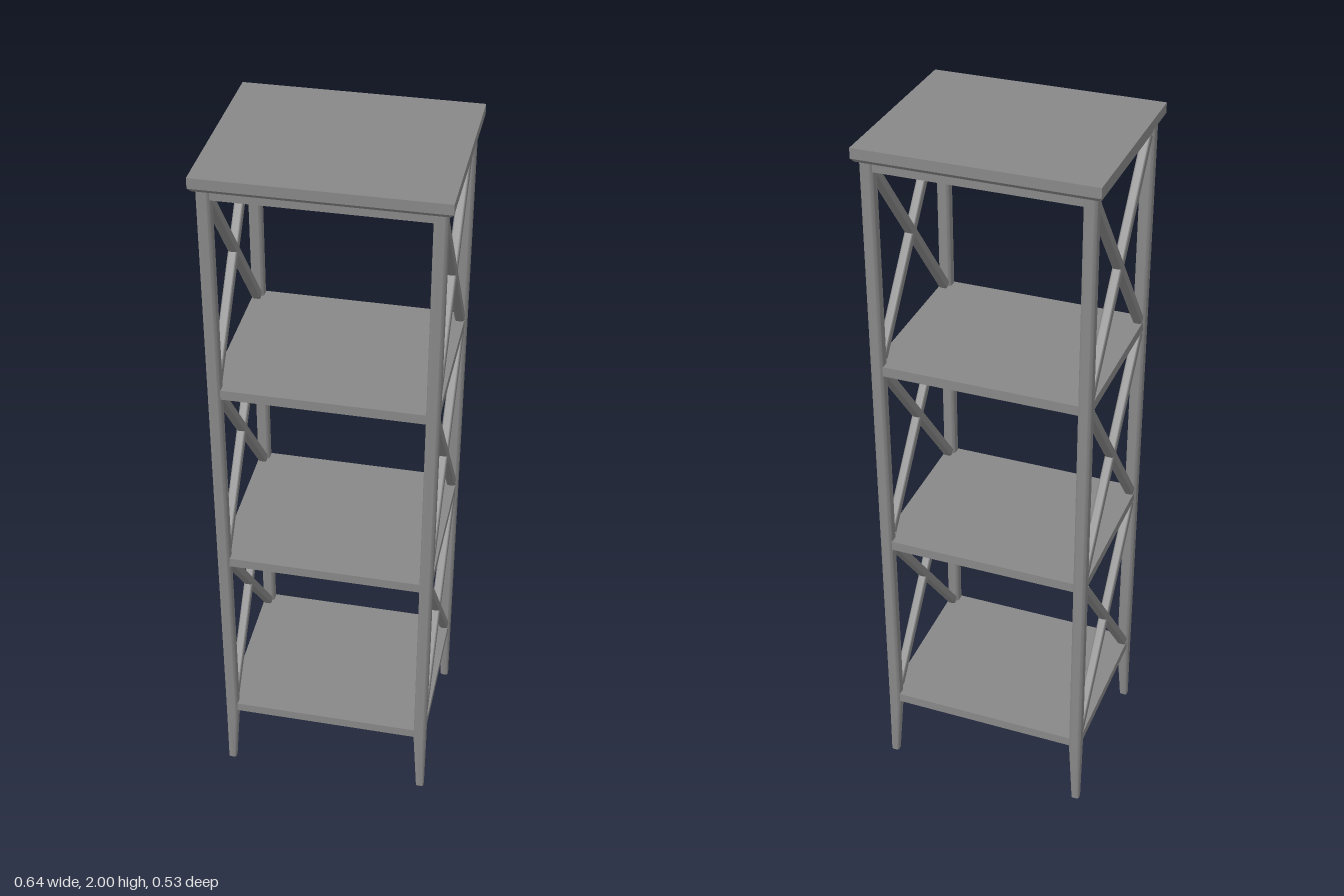
import * as THREE from 'three';
import { toCreasedNormals } from 'three/addons/utils/BufferGeometryUtils.js';

const POST_X = 0.286, POST_Z = 0.235; // post centres
const POST_W = 0.036, TOP_Y = 1.964;
const RAIL_H = 0.028, RAIL_W = 0.026;
const SHELF_Y = [0.205, 0.782, 1.356, 1.936]; // underside of each level

// Square bar with rounded long edges, running along +y from y = 0
function roundedBar(width, length, radius, steps = 1) {
  const h = width / 2, s = new THREE.Shape();
  [[1, 1, 0], [-1, 1, 1], [-1, -1, 2], [1, -1, 3]].forEach(([x, y, i]) =>
    s.absarc(x * (h - radius), y * (h - radius), radius, i * Math.PI / 2, (i + 1) * Math.PI / 2, false));
  const g = new THREE.ExtrudeGeometry(s, { depth: length, steps, bevelEnabled: false, curveSegments: 5 });
  return g.rotateX(-Math.PI / 2);
}

// Post whose foot tapers on the two inner faces only
function postGeometry(sx, sz) {
  const g = roundedBar(POST_W, TOP_Y, 0.01, 10);
  const p = g.attributes.position, h = POST_W / 2;
  for (let i = 0; i < p.count; i++) {
    const k = 1 - 0.36 * Math.max(0, 1 - p.getY(i) / 0.196);
    p.setX(i, sx * h + (p.getX(i) - sx * h) * k);
    p.setZ(i, sz * h + (p.getZ(i) - sz * h) * k);
  }
  return toCreasedNormals(g, 0.6);
}

export function createModel() {
  const model = new THREE.Group();
  model.name = 'shelfTower';
  const grey = new THREE.MeshStandardMaterial({ color: 0x888888 });
  grey.name = 'grey paint';

  const add = (name, geometry, x, y, z, parent = model) => {
    const m = new THREE.Mesh(geometry, grey);
    m.name = name;
    m.position.set(x, y, z);
    parent.add(m);
    return m;
  };
  const box = (w, h, d) => new THREE.BoxGeometry(w, h, d);

  // Corner posts
  for (const sx of [-1, 1]) for (const sz of [-1, 1]) {
    add(`${sz > 0 ? 'front' : 'back'}${sx > 0 ? 'Left' : 'Right'}Post`,
      postGeometry(sx, sz), sx * POST_X, 0, sz * POST_Z);
  }

  // Levels: rail frame with a board flush at the top
  SHELF_Y.forEach((y, i) => {
    const shelf = new THREE.Group();
    shelf.name = i === 3 ? 'topFrame' : `shelf${i + 1}`;
    model.add(shelf);
    const mid = y + RAIL_H / 2;
    for (const s of [-1, 1]) {
      add(s > 0 ? 'frontRail' : 'backRail', box(POST_X * 2 - POST_W + 0.004, RAIL_H, RAIL_W), 0, mid, s * POST_Z, shelf);
      add(s > 0 ? 'leftRail' : 'rightRail', box(RAIL_W, RAIL_H, POST_Z * 2 - POST_W + 0.004), s * POST_X, mid, 0, shelf);
    }
    add('board', box(POST_X * 2 - RAIL_W, 0.02, POST_Z * 2 - RAIL_W), 0, y + RAIL_H - 0.01, 0, shelf);
  });

  // Crossed braces on both sides of each bay
  for (let i = 0; i < 3; i++) {
    const y0 = SHELF_Y[i] + RAIL_H, y1 = SHELF_Y[i + 1];
    const dz = 0.425, dy = y1 - y0 - 0.015, length = Math.hypot(dz, dy);
    const geometry = toCreasedNormals(roundedBar(0.026, length, 0.007), 0.6);
    geometry.translate(0, -length / 2, 0);
    for (const sx of [-1, 1]) for (const dir of [-1, 1]) {
      const brace = add(`${sx > 0 ? 'left' : 'right'}Brace`, geometry, sx * POST_X, (y0 + y1) / 2, 0);
      brace.rotation.x = dir * Math.atan2(dz, dy);
    }
  }

  // Overhanging top with a chamfered lower edge
  add('top', box(0.636, 0.028, 0.534), 0, 1.986, 0);
  const edge = box(0.636, 0.01, 0.534), p = edge.attributes.position;
  for (let i = 0; i < p.count; i++) {
    if (p.getY(i) > 0) continue;
    p.setX(i, p.getX(i) - Math.sign(p.getX(i)) * 0.008);
    p.setZ(i, p.getZ(i) - Math.sign(p.getZ(i)) * 0.008);
  }
  edge.computeVertexNormals();
  add('topChamfer', edge, 0, 1.967, 0);

  return model;
}
